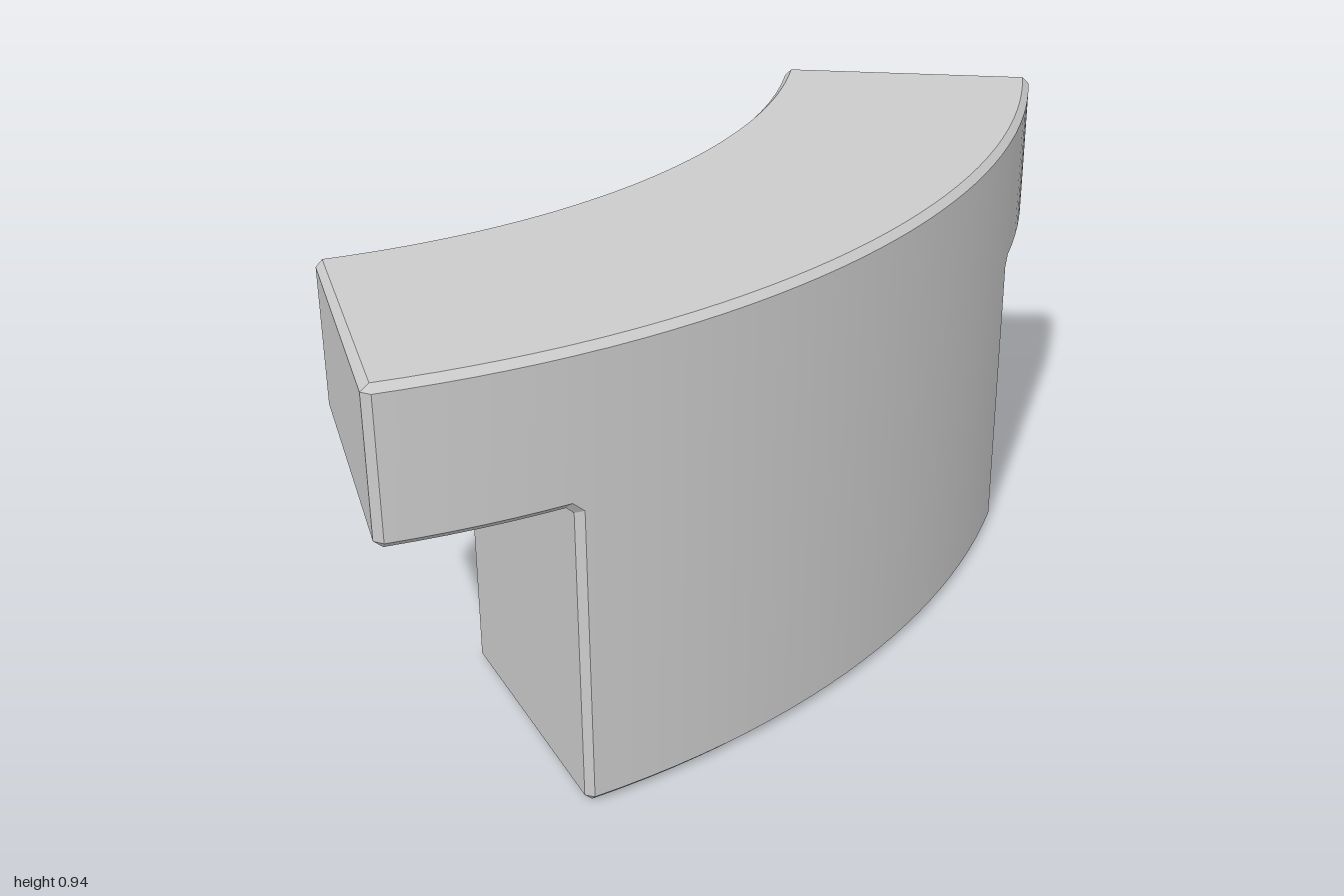
import * as THREE from 'three';
import { toCreasedNormals } from 'three/addons/utils/BufferGeometryUtils.js';

const C = 0.014;                              // chamfer size
const TOP = 0.945, LEDGE = 0.638;             // flange top and underside
const END = 1.007, STEM = 0.69;               // half widths along the front arc

// Points on the two arcs in plan, by position s along the front arc
const onArc = (x, r, cz) => new THREE.Vector2(x, cz + Math.sqrt(r * r - x * x));
const outer = (s) => onArc(s, 1.855, -1.4825);
const inner = (s) => onArc(s * (0.655 + 0.043 * s * s), 1.336, -1.52);

// Chamfered section: lower edge (sb, yb), curved face (sf, yf) up to yt
function section({ sb, yb, sf, yf, top = TOP, yt = TOP - C, inset = 0 }) {
  const point = (s, y, isOuter, d) => {
    const a = isOuter ? outer(s) : inner(s);
    const b = isOuter ? inner(s) : outer(s);
    const p = a.clone().add(b.sub(a).setLength(d));
    return new THREE.Vector3(p.x, y, p.y);
  };
  const side = (o) => [
    point(sb, yb, o, C), point(sf, yf, o, inset),
    point(sf, yt, o, inset), point(sf, top, o, C),
  ];
  return [...side(false), ...side(true).reverse()];
}

function halfStations() {
  const list = [];
  // end face
  list.push({ sb: END, yb: LEDGE + C, sf: END, yf: LEDGE + C, top: TOP - C, inset: C });
  // overhanging flange
  for (let i = 0; i <= 6; i++) {
    const t = i / 6;
    list.push({
      sb: THREE.MathUtils.lerp(END - C, STEM + C, t), yb: LEDGE,
      sf: THREE.MathUtils.lerp(END - C, STEM + C / 2, t), yf: LEDGE + C,
    });
  }
  // inside corner, stem side and stem foot
  list.push({ sb: STEM, yb: LEDGE - C, sf: STEM - C, yf: LEDGE - C / 2 });
  list.push({ sb: STEM, yb: C, sf: STEM - C, yf: C });
  // stem, up to the middle
  for (let i = 0; i < 12; i++) {
    const s = (STEM - C) * (1 - i / 12);
    list.push({ sb: s, yb: 0, sf: s, yf: C });
  }
  return list;
}

function blockGeometry() {
  const half = halfStations();
  const mirrored = half.map((h) => ({ ...h, sb: -h.sb, sf: -h.sf })).reverse();
  const rings = [...half, { sb: 0, yb: 0, sf: 0, yf: C }, ...mirrored].map(section);

  const pos = [];
  const tri = (a, b, c) => {
    const area = b.clone().sub(a).cross(c.clone().sub(a)).length();
    if (area > 1e-9) for (const p of [a, b, c]) pos.push(p.x, p.y, p.z);
  };
  // skin between neighbouring sections
  for (let i = 0; i + 1 < rings.length; i++) {
    const p = rings[i], q = rings[i + 1];
    for (let k = 0; k < 8; k++) {
      const n = (k + 1) % 8;
      tri(p[k], q[k], q[n]);
      tri(p[k], q[n], p[n]);
    }
  }
  // flat end faces
  const first = rings[0], last = rings[rings.length - 1];
  for (let k = 1; k < 7; k++) {
    tri(first[0], first[k], first[k + 1]);
    tri(last[0], last[k + 1], last[k]);
  }
  const geo = new THREE.BufferGeometry();
  geo.setAttribute('position', new THREE.Float32BufferAttribute(pos, 3));
  return toCreasedNormals(geo, Math.PI / 7);
}

export function createModel() {
  const group = new THREE.Group();
  group.name = 'curvedBlock';
  const block = new THREE.Mesh(blockGeometry(), new THREE.MeshStandardMaterial({ color: 0xcccccc }));
  block.name = 'curvedTeeBlock';
  group.add(block);
  return group;
}
